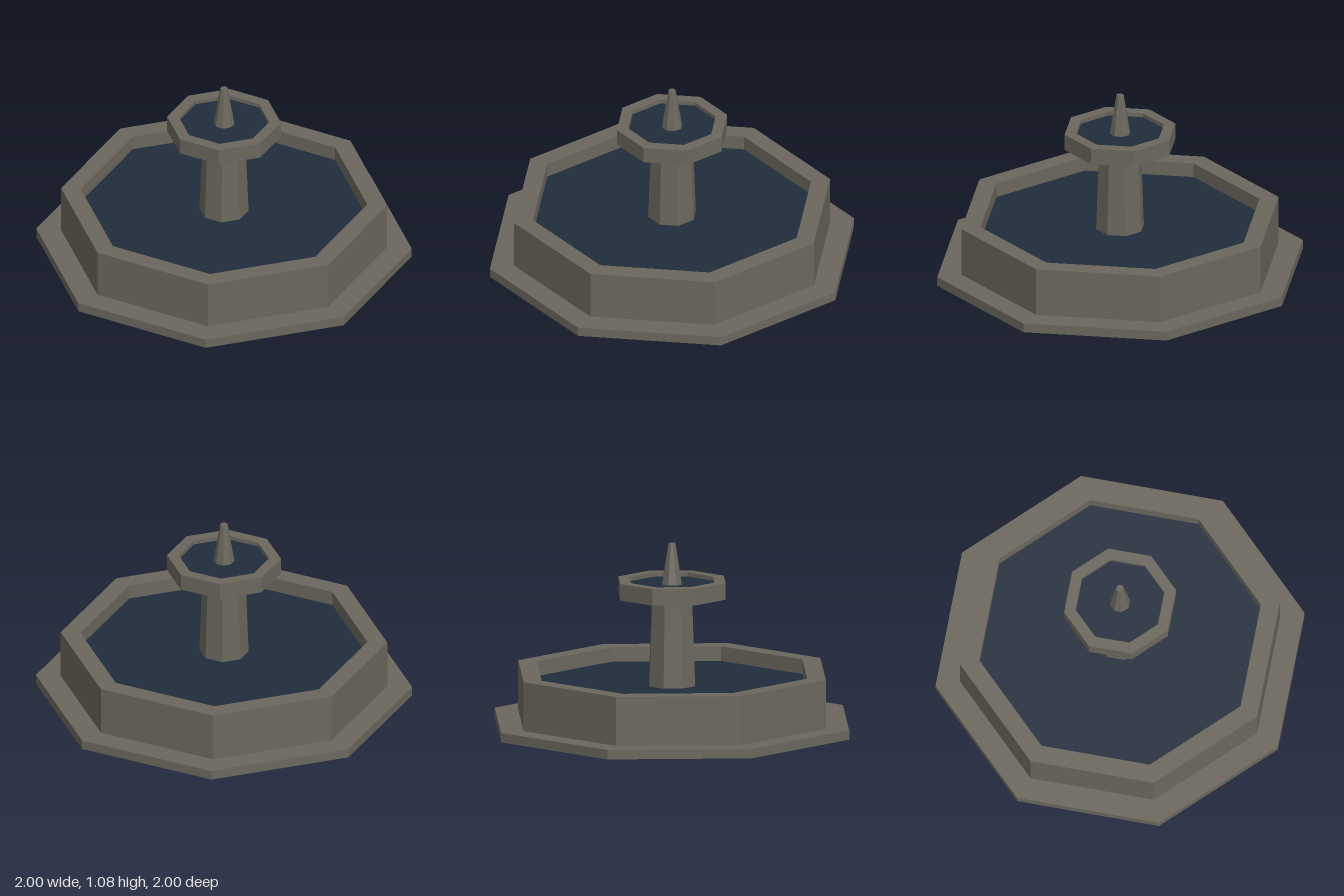
import * as THREE from 'three';

const SIDES = 8;
const HALF = Math.PI / SIDES;

export function createModel() {
  const stone = new THREE.MeshStandardMaterial({ color: 0x6b675d });
  stone.name = 'stone';
  const water = new THREE.MeshStandardMaterial({ color: 0x212d3c });
  water.name = 'water';

  const group = new THREE.Group();
  group.name = 'fountain';

  const add = (name, geometry, material) => {
    const mesh = new THREE.Mesh(geometry, material);
    mesh.name = name;
    group.add(mesh);
  };

  // Octagonal solid from y0 to y1; widths are measured from centre to flat side
  const prism = (name, bottom, top, y0, y1, material) => {
    const k = 1 / Math.cos(HALF);
    const smooth = new THREE.CylinderGeometry(top * k, bottom * k, y1 - y0, SIDES, 1, false, HALF);
    const flat = smooth.toNonIndexed();
    flat.computeVertexNormals();
    flat.translate(0, (y0 + y1) / 2, 0);
    add(name, flat, material);
  };

  const octagon = (apothem, PathType) => {
    const points = [];
    for (let i = 0; i < SIDES; i++) {
      const a = HALF + i * 2 * HALF;
      const r = apothem / Math.cos(HALF);
      points.push(new THREE.Vector2(r * Math.cos(a), r * Math.sin(a)));
    }
    return new PathType(points);
  };

  // Octagonal wall with an open middle
  const ring = (name, outer, inner, y0, y1) => {
    const shape = octagon(outer, THREE.Shape);
    shape.holes.push(octagon(inner, THREE.Path));
    const geometry = new THREE.ExtrudeGeometry(shape, { depth: y1 - y0, bevelEnabled: false });
    geometry.rotateX(-Math.PI / 2);
    geometry.translate(0, y0, 0);
    add(name, geometry, stone);
  };

  // Lower pool
  prism('basePlate', 1, 1, 0, 0.055, stone);
  ring('basinWall', 0.868, 0.763, 0.055, 0.34);
  prism('basinWater', 0.763, 0.763, 0.06, 0.255, water);

  // Column and upper bowl
  prism('column', 0.131, 0.113, 0.25, 0.775, stone);
  ring('bowlWall', 0.303, 0.24, 0.77, 0.866);
  prism('bowlWater', 0.24, 0.24, 0.772, 0.842, water);
  prism('spout', 0.056, 0.02, 0.84, 1.08, stone);

  return group;
}
